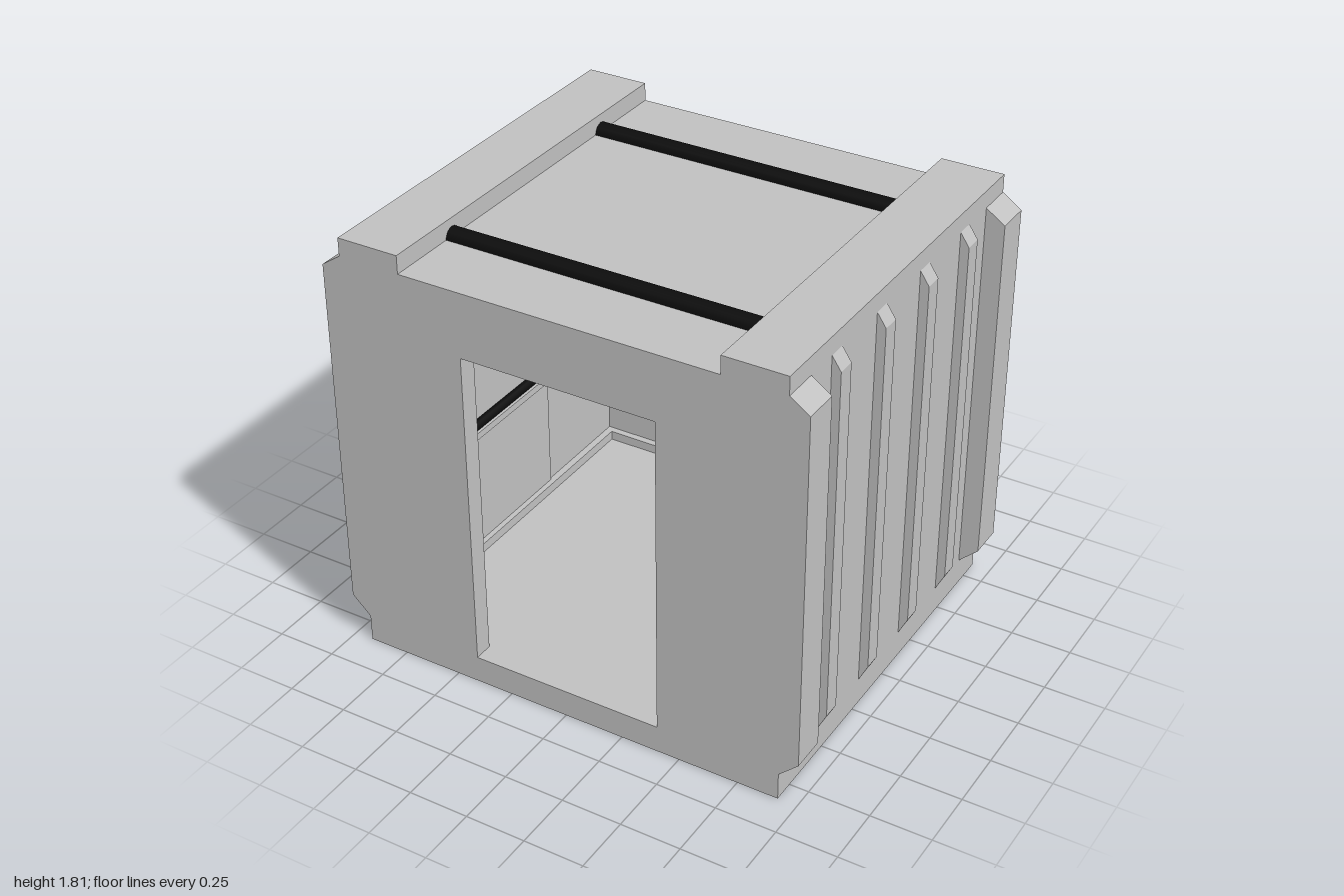
import * as THREE from 'three';

const shell = new THREE.MeshStandardMaterial({ color: 0xc0c0c0 });
shell.name = 'light grey panel';
const black = new THREE.MeshStandardMaterial({ color: 0x0c0c0c });
black.name = 'black bar';

// Half outlines of the cross-section, bottom to top on the +x side
const roof = [[0.92, 1.81], [0.66, 1.81], [0.66, 1.735]];
const plain = [[0.92, 0], ...roof];
const posts = [[0.92, 0], [0.92, 0.115], [1, 0.19], [1, 1.68], [0.92, 1.735], ...roof];

function rectHole(w, y0, y1) {
  return new THREE.Path([[-w, y0], [-w, y1], [w, y1], [w, y0]].map(p => new THREE.Vector2(...p)));
}

export function createModel() {
  const model = new THREE.Group();

  function add(name, geometry, material, x = 0, y = 0, z = 0) {
    const mesh = new THREE.Mesh(geometry, material);
    mesh.name = name;
    mesh.position.set(x, y, z);
    model.add(mesh);
    return mesh;
  }
  const box = (name, w, h, d, x, y, z, material = shell) =>
    add(name, new THREE.BoxGeometry(w, h, d), material, x, y, z);

  // Mirrored outline extruded from z0 to z1, with an optional opening
  function slice(name, half, z0, z1, hole) {
    const left = half.map(([x, y]) => [-x, y]).reverse();
    const shape = new THREE.Shape([...half, ...left].map(p => new THREE.Vector2(...p)));
    if (hole) shape.holes.push(hole);
    add(name, new THREE.ExtrudeGeometry(shape, { depth: z1 - z0, bevelEnabled: false }), shell, 0, 0, z0);
  }

  // Hollow body with corner posts at both ends and a doorway in front
  const room = () => rectHole(0.81, 0.115, 1.65);
  slice('frontWall', posts, 0.76, 0.84, rectHole(0.405, 0.115, 1.465));
  slice('frontPosts', posts, 0.69, 0.76, room());
  slice('middleShell', plain, -0.69, 0.69, room());
  slice('backPosts', posts, -0.76, -0.69, room());
  slice('backWall', posts, -0.84, -0.76);

  // Chamfered ribs on both side walls
  const ribOutline = [[0.91, 0.115], [0.92, 0.115], [0.957, 0.19], [0.957, 1.68], [0.92, 1.735], [0.91, 1.735]];
  const ribGeometry = new THREE.ExtrudeGeometry(
    new THREE.Shape(ribOutline.map(p => new THREE.Vector2(...p))), { depth: 0.075, bevelEnabled: false });
  ribGeometry.translate(0, 0, -0.0375);
  for (const z of [-0.505, -0.17, 0.17, 0.505]) {
    add('leftRib', ribGeometry, shell, 0, 0, z);
    add('rightRib', ribGeometry, shell, 0, 0, z).rotation.y = Math.PI;
    model.children.at(-1).position.z = z;
  }

  // Half-sunk round bars across the roof
  const bar = new THREE.CylinderGeometry(0.04, 0.04, 1.325, 16);
  bar.rotateZ(Math.PI / 2);
  for (const z of [-0.505, 0.505]) add('roofBar', bar, black, 0, 1.735, z);

  // Interior skirting, wall panels and rails
  box('backSkirting', 1.62, 0.04, 0.03, 0, 0.135, -0.745);
  const rail = new THREE.CylinderGeometry(0.02, 0.02, 1, 12);
  rail.rotateX(Math.PI / 2);
  for (const s of [-1, 1]) {
    box('sideSkirting', 0.03, 0.04, 1.52, s * 0.795, 0.135, 0);
    box('wallPanel', 0.008, 1.45, 0.56, s * 0.807, 0.88, 0);
    box('wallRail', 0.05, 0.03, 1, s * 0.785, 0.7, 0);
    add('wallBar', rail, black, s * 0.785, 0.73, 0);
  }
  return model;
}
